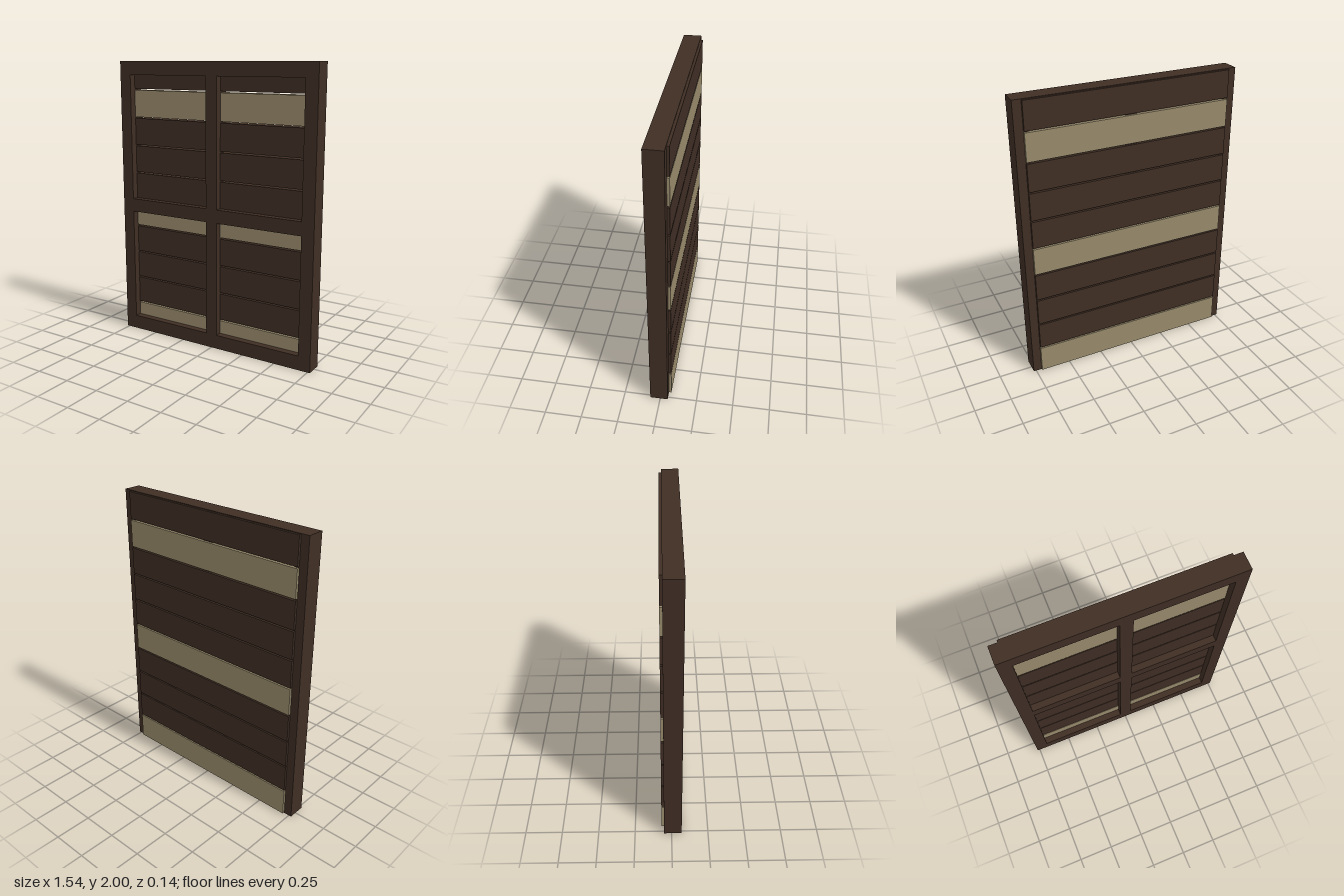
import * as THREE from 'three';

export function createModel() {
  const darkWood = new THREE.MeshStandardMaterial({ color: 0x3f2e24 });
  darkWood.name = 'darkWood';
  const paleWood = new THREE.MeshStandardMaterial({ color: 0x988a6c });
  paleWood.name = 'paleWood';

  const group = new THREE.Group();
  group.name = 'plankPanel';

  const rectangle = (path, x0, y0, x1, y1) =>
    path.moveTo(x0, y0).lineTo(x1, y0).lineTo(x1, y1).lineTo(x0, y1).closePath();

  // Frame with four openings, divided by a centre post and a cross rail
  const outline = new THREE.Shape();
  rectangle(outline, -0.768, 0, 0.768, 2);
  for (const [x0, x1] of [[-0.68, -0.043], [0.043, 0.68]]) {
    for (const [y0, y1] of [[0.1, 0.915], [1.01, 1.903]]) {
      const opening = new THREE.Path();
      rectangle(opening, x0, y0, x1, y1);
      outline.holes.push(opening);
    }
  }
  const frame = new THREE.Mesh(
    new THREE.ExtrudeGeometry(outline, { depth: 0.121, bevelEnabled: false }), darkWood);
  frame.name = 'frame';
  frame.position.z = -0.052;
  group.add(frame);

  // Horizontal planks with narrow gaps, standing slightly proud of the back
  const plankGeometry = new THREE.BoxGeometry(1.42, 0.19, 0.09);
  for (let i = 0; i < 10; i++) {
    const plank = new THREE.Mesh(plankGeometry, i % 4 === 0 ? paleWood : darkWood);
    plank.name = `plank${i + 1}`;
    plank.position.set(0, 0.1 + i * 0.2, -0.024);
    group.add(plank);
  }
  return group;
}
